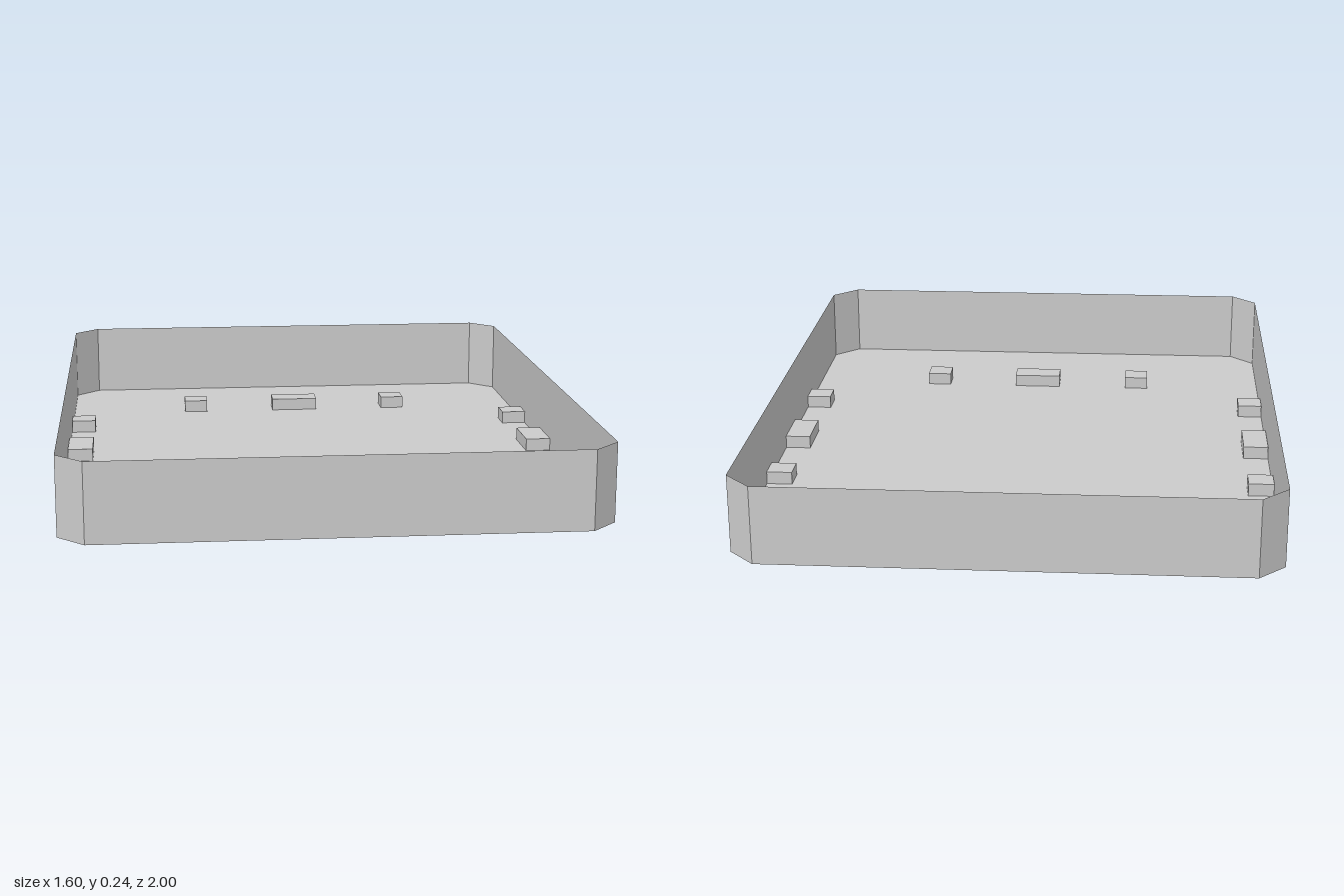
import * as THREE from 'three';

const W = 0.8, D = 1, H = 0.24, CUT = 0.08, BLOCK_H = 0.04;

export function createModel() {
  const model = new THREE.Group();
  model.name = 'tray';
  const sheet = new THREE.MeshStandardMaterial({ color: 0xcccccc, flatShading: true, side: THREE.DoubleSide });
  const solid = new THREE.MeshStandardMaterial({ color: 0xcccccc, flatShading: true });

  const add = (name, geometry, material) => {
    const mesh = new THREE.Mesh(geometry, material);
    mesh.name = name;
    model.add(mesh);
    return mesh;
  };

  // Rectangle outline with cut corners, counter-clockwise from above
  const outline = [
    [W, -D + CUT], [W, D - CUT], [W - CUT, D], [-W + CUT, D],
    [-W, D - CUT], [-W, -D + CUT], [-W + CUT, -D], [W - CUT, -D],
  ].map(([x, y]) => new THREE.Vector2(x, y));

  // Thin floor
  add('floor', new THREE.ShapeGeometry(new THREE.Shape(outline)).rotateX(-Math.PI / 2), sheet);

  // Thin upright walls, one panel per outline edge
  outline.forEach((a, i) => {
    const b = outline[(i + 1) % outline.length];
    const panel = new THREE.PlaneGeometry(a.distanceTo(b), H);
    const wall = add(i % 2 ? 'cornerWall' : 'wall', panel, sheet);
    wall.position.set((a.x + b.x) / 2, H / 2, -(a.y + b.y) / 2);
    wall.rotation.y = Math.atan2(b.y - a.y, b.x - a.x);
  });

  // Low blocks on the floor: a long one between two short ones on each side
  const block = (name, x, z, w, d) => {
    add(name, new THREE.BoxGeometry(w, BLOCK_H, d), solid).position.set(x, BLOCK_H / 2 + 0.001, z);
  };
  for (const side of [-1, 1]) {
    for (const offset of [-0.36, 0, 0.36]) {
      const length = offset === 0 ? 0.16 : 0.08;
      block('endBlock', offset, side * 0.64, length, 0.08);
      block('sideBlock', side * 0.759, offset, 0.08, length);
    }
  }
  return model;
}
